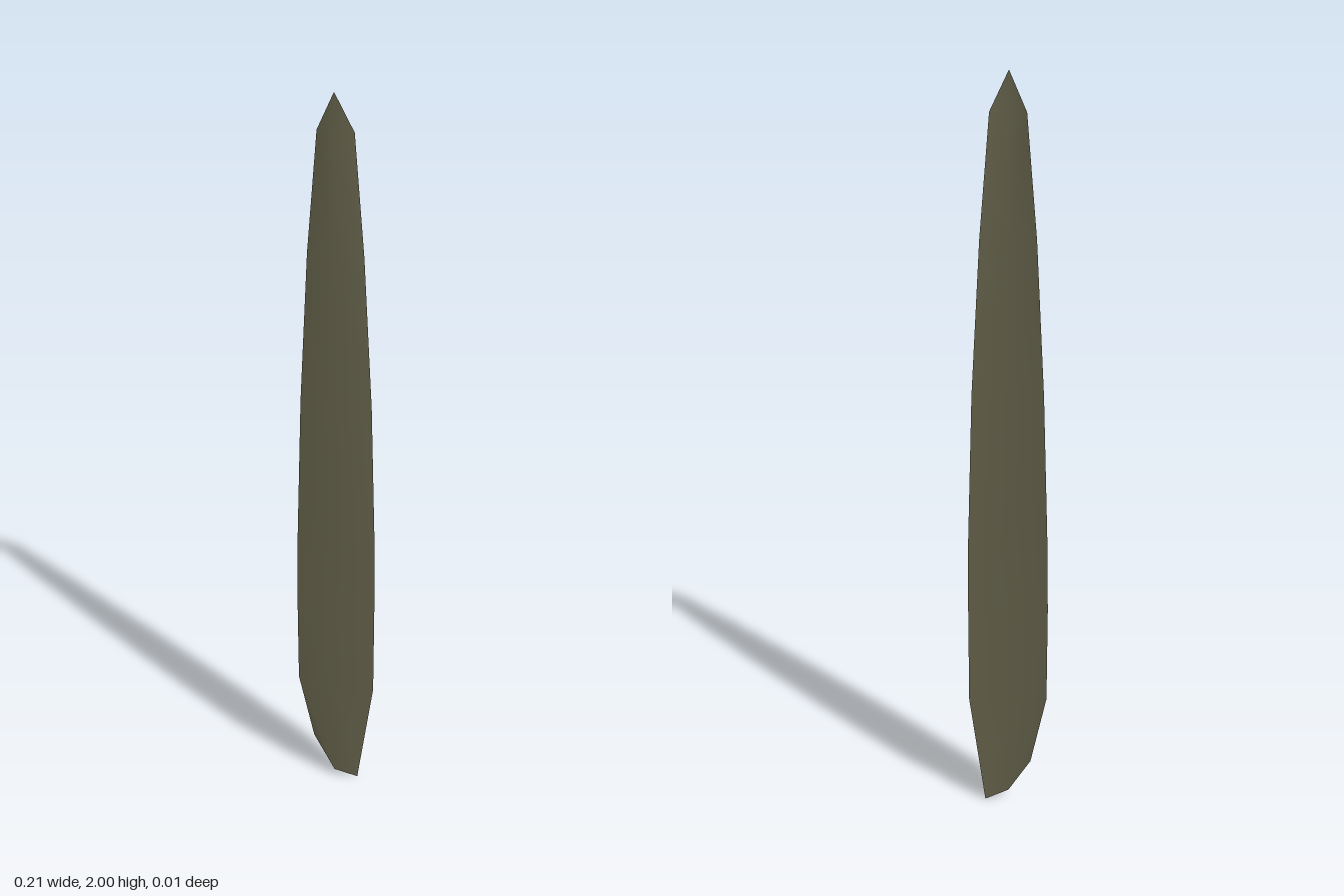
import * as THREE from 'three';

// Rows from tip to base: [right edge x, y, left edge x, y, midrib y]
const ROWS = [
  [-0.045, 1.905, 0.043, 1.905, 1.905],
  [-0.07, 1.6, 0.068, 1.6, 1.6],
  [-0.09, 1.2, 0.09, 1.2, 1.2],
  [-0.102, 0.8, 0.102, 0.8, 0.8],
  [-0.105, 0.6, 0.104, 0.6, 0.6],
  [-0.104, 0.33, 0.104, 0.32, 0.33],
  [-0.062, 0.13, 0.062, 0, 0.025],
];
const FOLD = 0.006; // the midrib stands forward, the edges lie back

function bladeGeometry() {
  const points = [-0.002, 2, FOLD];
  const faces = [0, 1, 2, 0, 2, 3]; // pointed tip
  ROWS.forEach(([xr, yr, xl, yl, ym], i) => {
    points.push(xr, yr, -FOLD, -0.001, ym, FOLD, xl, yl, -FOLD);
    if (i === 0) return;
    // one quad on each side of the midrib
    for (let side = 0; side < 2; side++) {
      const b = 1 + i * 3 + side, a = b - 3;
      faces.push(a, b, b + 1, a, b + 1, a + 1);
    }
  });
  const geometry = new THREE.BufferGeometry();
  geometry.setAttribute('position', new THREE.Float32BufferAttribute(points, 3));
  geometry.setIndex(faces);
  geometry.computeVertexNormals();
  return geometry;
}

export function createModel() {
  const group = new THREE.Group();
  group.name = 'leaf';
  const material = new THREE.MeshStandardMaterial({ color: 0x64614a, side: THREE.DoubleSide });
  const blade = new THREE.Mesh(bladeGeometry(), material);
  blade.name = 'leafBlade';
  group.add(blade);
  return group;
}
